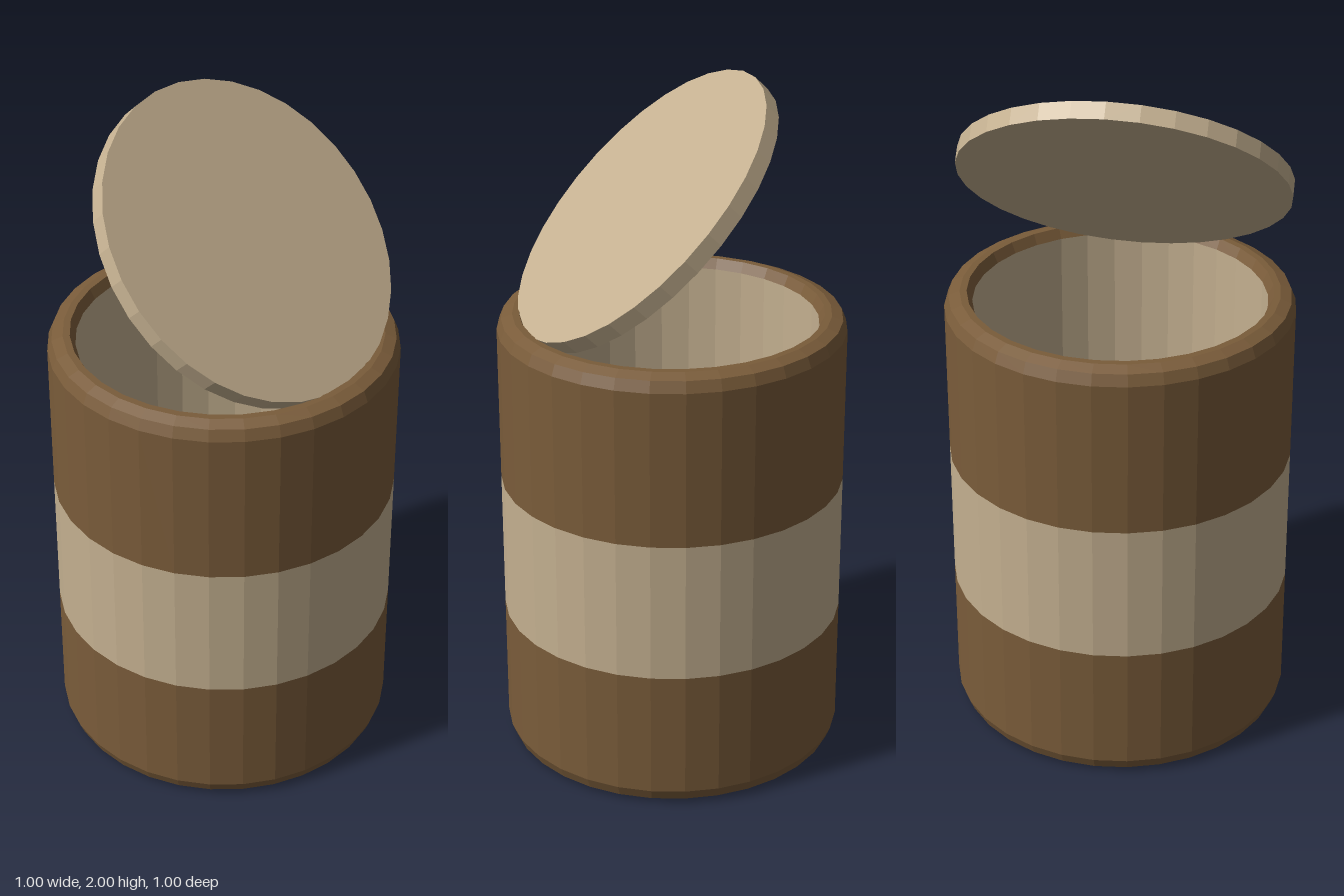
import * as THREE from 'three';

const SEGMENTS = 32;
const brown = new THREE.MeshStandardMaterial({ color: 0x7a5c3a, flatShading: true });
const cream = new THREE.MeshStandardMaterial({ color: 0xc4b090, flatShading: true });

// Revolved part; the profile runs with the solid on its left, as [radius, y] pairs
function lathe(name, profile, material) {
  const points = profile.map(([r, y]) => new THREE.Vector2(r, y));
  const mesh = new THREE.Mesh(new THREE.LatheGeometry(points, SEGMENTS), material);
  mesh.name = name;
  return mesh;
}

export function createModel() {
  const model = new THREE.Group();
  model.name = 'openCan';

  // Outer shell: closed base, flush painted band, rounded rim
  model.add(lathe('lowerBody', [[0, 0], [0.455, 0], [0.487, 0.013], [0.5, 0.045], [0.5, 0.42]], brown));
  model.add(lathe('band', [[0.5, 0.42], [0.5, 0.835]], cream));
  model.add(lathe('upperBody', [
    [0.5, 0.835], [0.5, 1.295], [0.487, 1.327], [0.455, 1.34], [0.435, 1.34], [0.42, 1.31],
  ], brown));

  // Hollow interior
  model.add(lathe('innerWall', [[0.42, 1.31], [0.42, 0.06]], cream));
  model.add(lathe('innerFloor', [[0.42, 0.06], [0, 0.06]], brown));

  // Lid hinged open on the left side of the rim
  const lid = new THREE.Mesh(new THREE.CylinderGeometry(0.475, 0.475, 0.05, SEGMENTS), cream);
  lid.name = 'lid';
  lid.position.set(0.08, 1.647, 0);
  lid.rotation.z = -Math.PI / 4;
  model.add(lid);

  return model;
}
